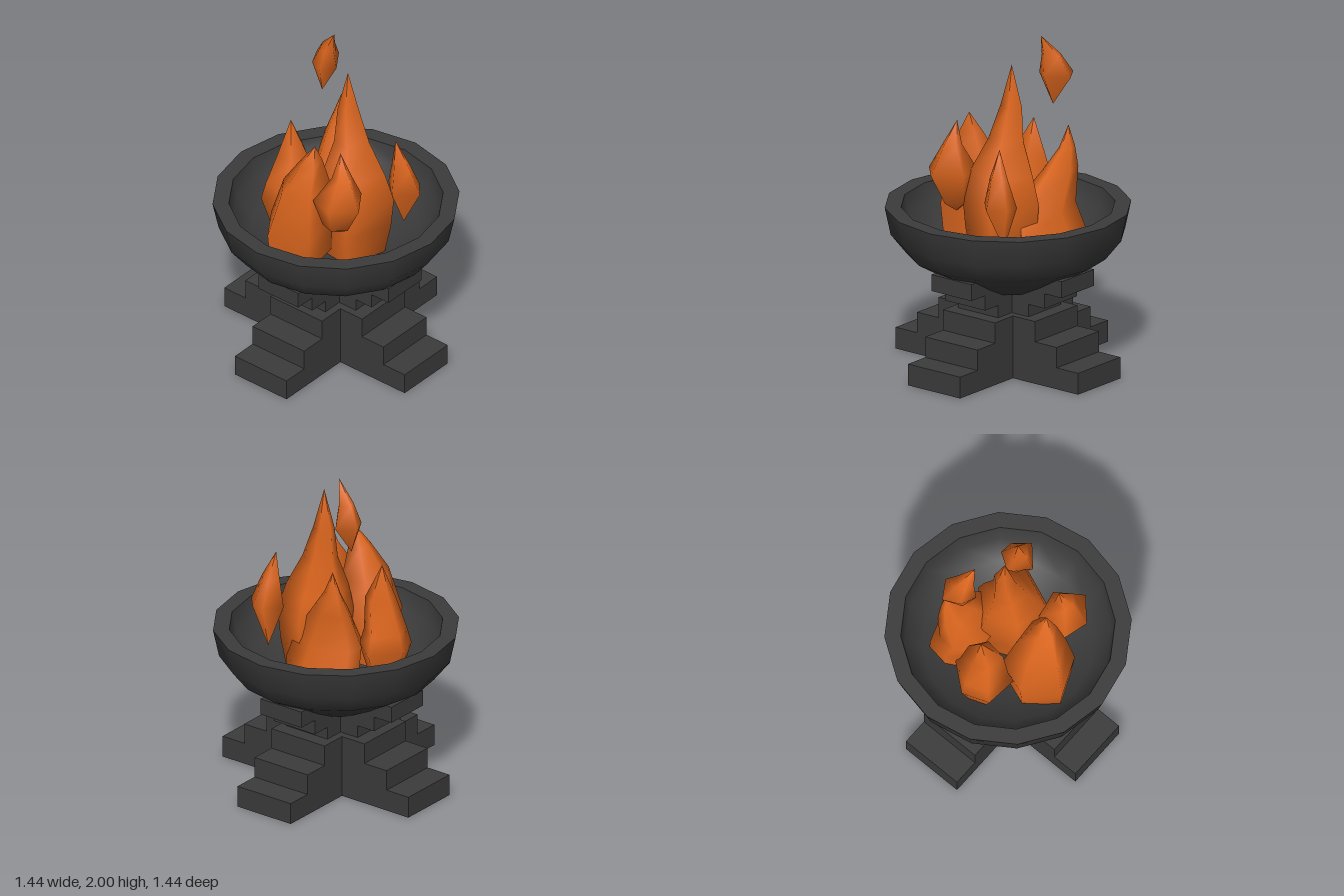
import * as THREE from 'three';

const stone = new THREE.MeshStandardMaterial({ color: 0x3b3b3b });
stone.name = 'dark stone';
const fire = new THREE.MeshStandardMaterial({ color: 0xdc661e });
fire.name = 'flame orange';

function add(parent, geometry, material, name) {
  const mesh = new THREE.Mesh(geometry, material);
  mesh.name = name;
  parent.add(mesh);
  return mesh;
}

// box given by its min and max corners
function block(parent, name, x0, x1, y0, y1, z0, z1) {
  const g = new THREE.BoxGeometry(x1 - x0, y1 - y0, z1 - z0);
  g.translate((x0 + x1) / 2, (y0 + y1) / 2, (z0 + z1) / 2);
  return add(parent, g, stone, name);
}

// smooth surface turned around y, 16 sides
function lathe(parent, name, profile) {
  const pts = profile.map(([r, y]) => new THREE.Vector2(r, y));
  return add(parent, new THREE.LatheGeometry(pts, 16), stone, name);
}

// flame: a footprint [x, z] (clockwise from above) scaled and shifted up
// through the rings [y, scale, centre x, centre z]
function flame(parent, name, footprint, rings) {
  const n = footprint.length;
  const mx = footprint.reduce((s, p) => s + p[0], 0) / n;
  const mz = footprint.reduce((s, p) => s + p[1], 0) / n;
  const pos = [], idx = [];
  rings.forEach(([y, s, cx = mx, cz = mz], k) => {
    for (const [x, z] of footprint) pos.push(cx + (x - mx) * s, y, cz + (z - mz) * s);
    if (k === 0) return;
    for (let i = 0; i < n; i++) {
      const a = (k - 1) * n + i, b = (k - 1) * n + (i + 1) % n;
      idx.push(b, a, a + n, b, a + n, b + n);
    }
  });
  const g = new THREE.BufferGeometry();
  g.setAttribute('position', new THREE.Float32BufferAttribute(pos, 3));
  g.setIndex(idx);
  g.computeVertexNormals();
  return add(parent, g, fire, name);
}

export function createModel() {
  const model = new THREE.Group();
  model.name = 'fireBowl';

  // stepped cross-shaped base
  const base = new THREE.Group();
  base.name = 'steppedBase';
  model.add(base);
  const w = 0.195;
  [[0.682, 0, 0.13], [0.522, 0.13, 0.255], [0.36, 0.255, 0.38]].forEach(([r, y0, y1]) => {
    block(base, 'baseStep', -r, r, y0, y1, -w, w);
    block(base, 'baseStep', -w, w, y0, y1, w, r);
    block(base, 'baseStep', -w, w, y0, y1, -r, -w);
  });

  // four stepped brackets carrying the bowl
  const v = 0.15;
  for (let i = 0; i < 4; i++) {
    const arm = new THREE.Group();
    arm.name = 'bowlBracket';
    arm.rotation.y = i * Math.PI / 2;
    block(arm, 'bracketFoot', 0, 0.275, 0.38, 0.455, -v, v);
    block(arm, 'bracketMiddle', 0, 0.395, 0.455, 0.545, -v, v);
    block(arm, 'bracketTop', 0.3, 0.522, 0.545, 0.645, -v, v);
    base.add(arm);
  }

  // bowl: outside, flat rim and inside
  const bowl = new THREE.Group();
  bowl.name = 'bowl';
  model.add(bowl);
  lathe(bowl, 'bowlOutside', [[0, 0.49], [0.28, 0.508], [0.59, 0.69], [0.685, 0.81], [0.72, 0.975]]);
  lathe(bowl, 'bowlRim', [[0.72, 0.975], [0.625, 0.975]]);
  lathe(bowl, 'bowlInside', [[0.625, 0.975], [0.6, 0.86], [0.5, 0.76], [0.3, 0.66], [0, 0.61]]);

  // fire
  const flames = new THREE.Group();
  flames.name = 'fire';
  model.add(flames);
  flame(flames, 'mainFlame',
    [[0.06, -0.28], [0.33, -0.13], [0.21, 0.17], [-0.04, 0.12], [-0.13, -0.1]],
    [[0.62, 0.75], [0.85, 0.93], [1.04, 1], [1.2, 0.82, 0.08, -0.04], [1.4, 0.46, 0.065, -0.05],
      [1.6, 0.28, 0.035, -0.06], [1.85, 0, 0.04, -0.06]]);
  flame(flames, 'frontFlame',
    [[-0.17, 0.1], [0.07, 0.08], [0.13, 0.4], [-0.1, 0.5], [-0.24, 0.3]],
    [[0.7, 0.9], [0.93, 1], [1.2, 0.7, -0.03, 0.27], [1.38, 0.32, 0.02, 0.26], [1.5, 0, 0.05, 0.25]]);
  flame(flames, 'leftSideFlame',
    [[-0.33, -0.12], [-0.17, 0], [-0.2, 0.22], [-0.4, 0.2], [-0.46, 0.04]],
    [[0.7, 0.6], [0.9, 1], [1, 0.82], [1.2, 0.58, -0.28, 0.06], [1.42, 0, -0.3, 0.05]]);
  flame(flames, 'backFlame',
    [[-0.06, -0.42], [0.18, -0.25], [0.05, -0.08], [-0.22, -0.07], [-0.33, -0.2], [-0.32, -0.33]],
    [[0.64, 1], [0.82, 0.97], [0.97, 0.87, -0.12, -0.175], [1.2, 0.48, -0.18, -0.25],
      [1.33, 0.22, -0.2, -0.28], [1.47, 0, -0.2, -0.29]]);
  flame(flames, 'cornerFlame',
    [[0.28, 0.105], [0.39, 0.26], [0.26, 0.38], [0.11, 0.34], [0.11, 0.14]],
    [[0.94, 0, 0.2, 0.22], [1, 0.55, 0.2, 0.23], [1.19, 1], [1.35, 0.4, 0.24, 0.23], [1.5, 0, 0.21, 0.21]]);
  flame(flames, 'rightSideFlame',
    [[0.3, -0.31], [0.38, -0.3], [0.46, -0.21], [0.34, -0.1], [0.23, -0.2]],
    [[0.83, 0, 0.32, -0.23], [1.09, 1], [1.25, 0.55, 0.33, -0.2], [1.42, 0, 0.3, -0.18]]);

  // loose lick of flame above the fire
  flame(flames, 'floatingFlame',
    [[-0.22, -0.29], [-0.13, -0.16], [-0.19, -0.08], [-0.28, -0.12], [-0.33, -0.22]],
    [[1.56, 0, -0.23, -0.15], [1.75, 1], [1.87, 0.55, -0.2, -0.16], [2, 0, -0.13, -0.14]]);

  return model;
}
